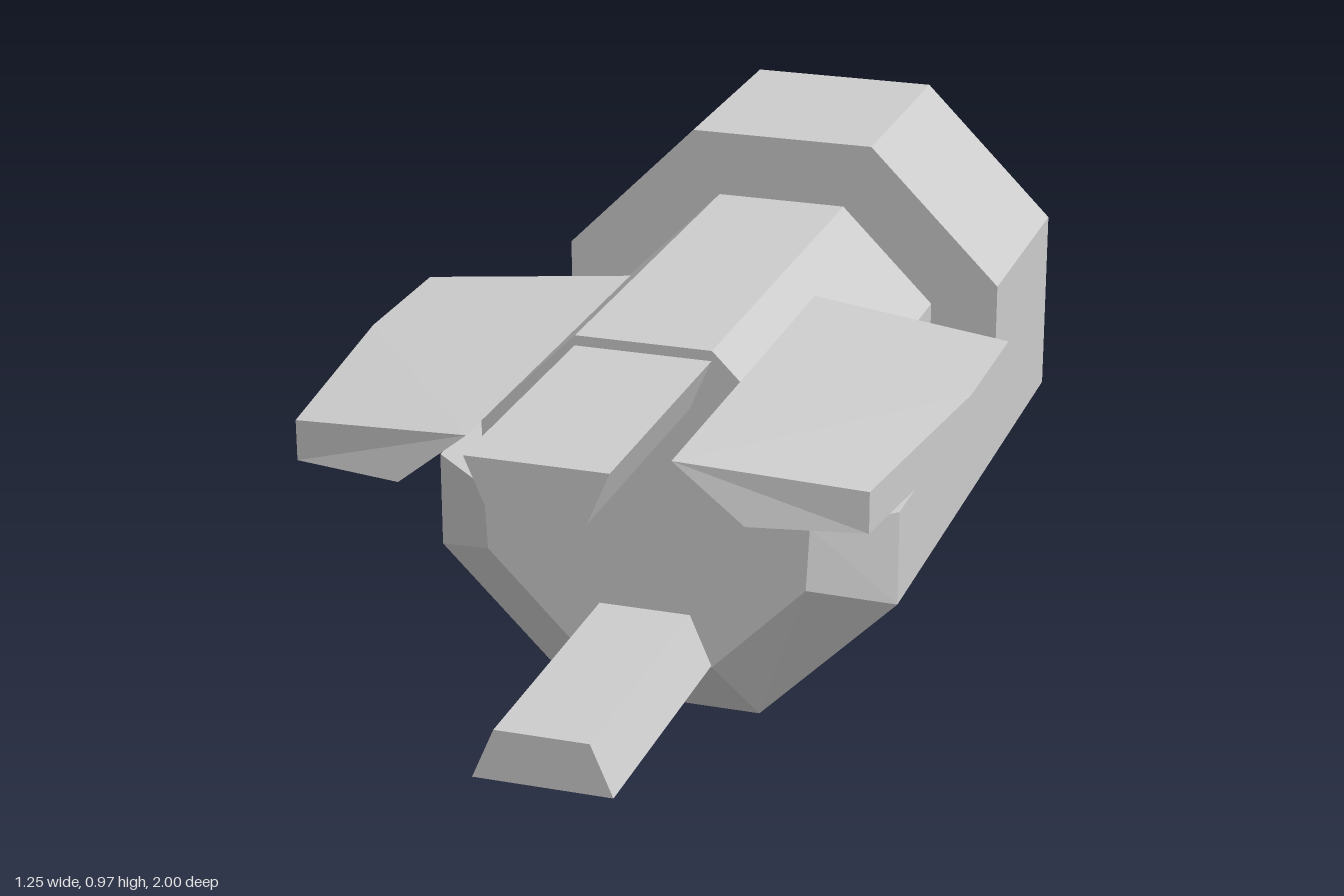
import * as THREE from 'three';

const grey = new THREE.MeshStandardMaterial({ color: 0xcccccc, flatShading: true, side: THREE.DoubleSide });
grey.name = 'hull grey';

// Joins successive rows of points with flat quads; optionally closes the rows and caps the ends.
function loft(rows, closed = false, capped = false) {
  const out = [];
  const tri = (...pts) => pts.forEach((p) => out.push(...p));
  for (let r = 0; r < rows.length - 1; r++) {
    const A = rows[r], B = rows[r + 1], n = A.length;
    for (let i = 0; i < (closed ? n : n - 1); i++) {
      const j = (i + 1) % n;
      tri(A[i], A[j], B[j]);
      tri(A[i], B[j], B[i]);
    }
  }
  if (capped) {
    const A = rows[0], B = rows[rows.length - 1];
    for (let i = 1; i < A.length - 1; i++) {
      tri(A[0], A[i + 1], A[i]);
      tri(B[0], B[i], B[i + 1]);
    }
  }
  const geo = new THREE.BufferGeometry();
  geo.setAttribute('position', new THREE.Float32BufferAttribute(out, 3));
  geo.computeVertexNormals();
  return geo;
}

const at = (path, z) => path.map(([x, y]) => [x, y, z]);
// Completes a half path by mirroring it across x = 0
const mirrored = (half) => [...half, ...half.slice().reverse().map(([x, y]) => [-x, y])];

export function createModel() {
  const group = new THREE.Group();
  const add = (name, geo) => {
    const mesh = new THREE.Mesh(geo, grey);
    mesh.name = name;
    group.add(mesh);
    return mesh;
  };

  // Half octagon paths, counterclockwise as seen from the front
  const mid = 0.485, step = -0.51, front = 0.41;
  const outerTop = mirrored([[0.485, mid], [0.485, 0.685], [0.2, 0.97]]);
  const outerLow = mirrored([[-0.485, mid], [-0.485, 0.285], [-0.2, 0]]);
  const coreTop = mirrored([[0.34, mid], [0.34, 0.63], [0.14, 0.83]]);
  const noseLow = mirrored([[-0.34, mid], [-0.333, 0.35], [-0.14, 0.155]]);

  // Hollow hull, open at the back
  add('rearCollar', loft([at(outerTop, -1), at(outerTop, step)]));
  add('lowerHull', loft([at(outerLow, -1), at(outerLow, 0.28), at(noseLow, front)]));
  add('upperCore', loft([at(coreTop, step), at(coreTop, front)]));
  add('collarStep', loft([at(outerTop, step), at(coreTop, step)]));

  // Ledges beside the core
  for (const [name, s] of [['leftLedge', 1], ['rightLedge', -1]]) {
    const edge = (w, z) => (s > 0 ? [[w, mid, z], [0.34, mid, z]] : [[-0.34, mid, z], [-w, mid, z]]);
    add(name, loft([edge(0.485, step), edge(0.485, 0.28), edge(0.34, front)]));
  }

  // Front plate
  const outline = [...coreTop, ...noseLow.slice(1, -1)].map(([x, y]) => new THREE.Vector2(x, y));
  add('frontPlate', new THREE.ShapeGeometry(new THREE.Shape(outline))).position.z = front;

  // Forward prongs, wide side outwards
  for (const [name, wideY, narrowY] of [['upperProng', 0.81, 0.705], ['lowerProng', 0.16, 0.265]]) {
    const shape = new THREE.Shape([[-0.14, wideY], [0.14, wideY], [0.095, narrowY], [-0.095, narrowY]]
      .map(([x, y]) => new THREE.Vector2(x, y)));
    add(name, new THREE.ExtrudeGeometry(shape, { depth: 0.587, bevelEnabled: false })).position.z = 0.413;
  }

  // Side fins: section from inner edge to outer edge
  const fin = (zIn, zOut, wide, low, top) => [
    [0.2, 0.777, zIn], [0.34, low, zIn], [wide, 0.665, zOut], [wide, top, zOut],
  ];
  const finGeo = loft([
    fin(-0.09, -0.025, 0.623, 0.64, 0.75),
    fin(0.41, 0.28, 0.623, 0.64, 0.75),
    fin(0.835, 0.795, 0.563, 0.665, 0.747),
  ], true, true);
  add('leftFin', finGeo);
  add('rightFin', finGeo).scale.x = -1;

  return group;
}
